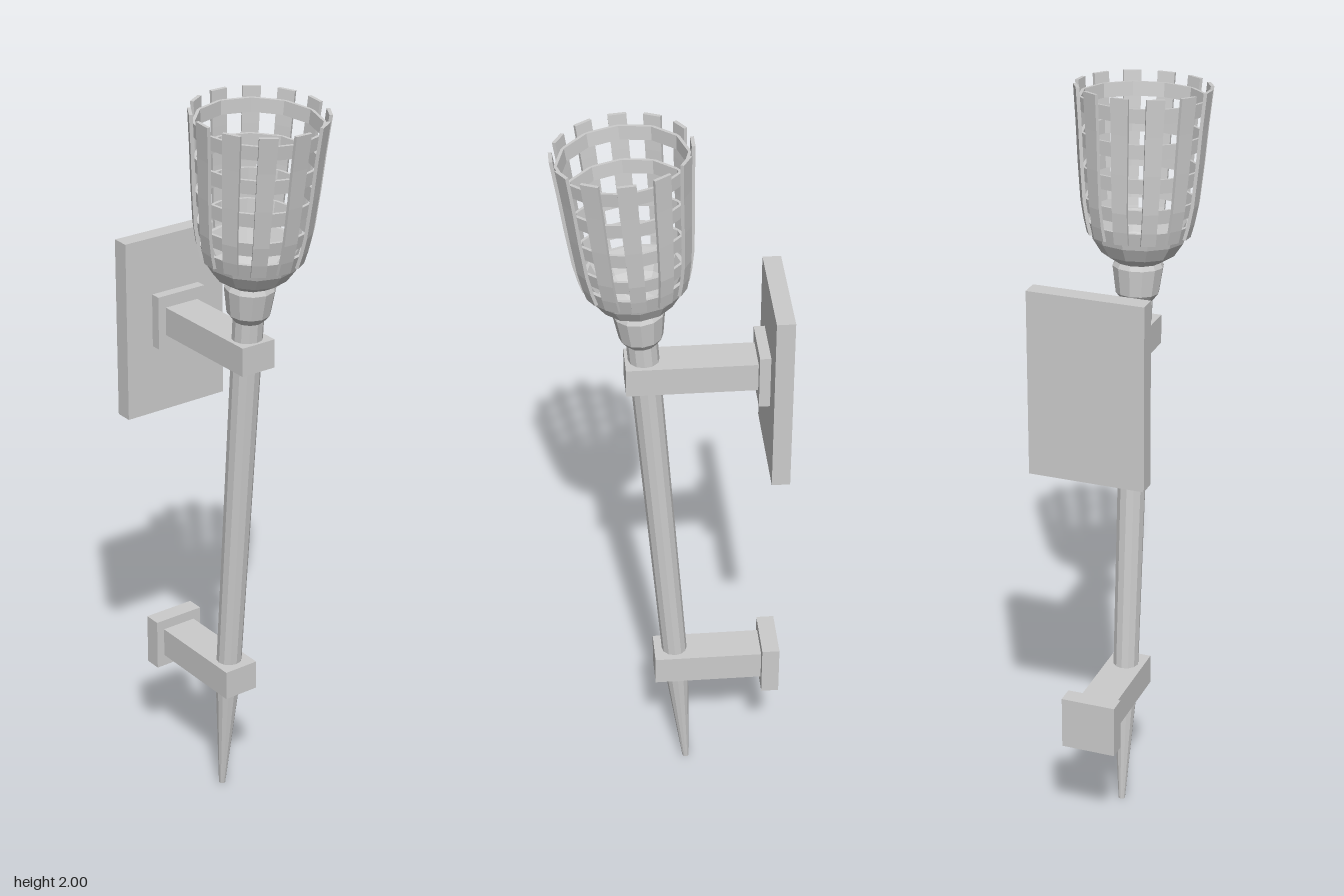
import * as THREE from 'three';

const SIDES = 12;
const TILT = 0.0794; // lean of the torch away from the wall

export function createModel() {
  const model = new THREE.Group();
  const material = new THREE.MeshStandardMaterial({ color: 0xcccccc, flatShading: true });

  const add = (parent, name, geometry) => {
    const mesh = new THREE.Mesh(geometry, material);
    mesh.name = name;
    parent.add(mesh);
    return mesh;
  };
  // box given by half width and its y and z ranges
  const box = (parent, name, halfW, y0, y1, z0, z1) =>
    add(parent, name, new THREE.BoxGeometry(halfW * 2, y1 - y0, z1 - z0))
      .position.set(0, (y0 + y1) / 2, (z0 + z1) / 2);
  const lathe = (points) =>
    new THREE.LatheGeometry(points.map(([r, y]) => new THREE.Vector2(r, y)), SIDES);

  // wall brackets
  const upper = new THREE.Group();
  upper.name = 'upperBracket';
  box(upper, 'upperWallPlate', 0.153, 1.08, 1.57, -0.29, -0.243);
  box(upper, 'upperMount', 0.073, 1.27, 1.415, -0.243, -0.215);
  box(upper, 'upperArm', 0.05, 1.305, 1.382, -0.215, 0.117);
  const lower = new THREE.Group();
  lower.name = 'lowerBracket';
  box(lower, 'lowerWallPlate', 0.073, 0.297, 0.44, -0.29, -0.243);
  box(lower, 'lowerArm', 0.05, 0.33, 0.412, -0.243, 0.047);
  model.add(upper, lower);

  // leaning torch, built upright and tilted about its tip
  const torch = new THREE.Group();
  torch.name = 'torch';
  torch.position.z = -0.041;
  torch.rotation.x = TILT;
  model.add(torch);

  add(torch, 'pole', lathe([[0, 0], [0.009, 0], [0.031, 0.31], [0.034, 0.4], [0.04, 1.45]]));
  add(torch, 'collar', lathe([
    [0, 1.44], [0.04, 1.44], [0.056, 1.46], [0.066, 1.53], [0.058, 1.545], [0, 1.545],
  ].slice(0, 5)));

  // hollow bowl: outside up, over the rim, inside down
  add(torch, 'bowl', lathe([
    [0.056, 1.54], [0.095, 1.565], [0.118, 1.6], [0.132, 1.645],
    [0.122, 1.645], [0.095, 1.59], [0.055, 1.55], [0.013, 1.535], [0, 1.535],
  ]));

  // outer radius of the basket at a given height
  const profile = [[1.615, 0.131], [1.65, 0.14], [1.7, 0.149], [1.8, 0.158], [1.9, 0.165], [1.992, 0.173]];
  const radiusAt = (y) => {
    const i = Math.max(1, profile.findIndex(([h]) => h >= y));
    const [y0, r0] = profile[i - 1], [y1, r1] = profile[i];
    return r0 + (r1 - r0) * (y - y0) / (y1 - y0);
  };

  // horizontal hoops
  const hoopH = 0.036;
  [1.69, 1.77, 1.858, 1.948].forEach((y, i) => {
    const lo = y - hoopH / 2, hi = y + hoopH / 2;
    const a = radiusAt(lo) - 0.007, b = radiusAt(hi) - 0.007, t = 0.008;
    add(torch, `hoop${i + 1}`, lathe([[a, lo], [b, hi], [b - t, hi], [a - t, lo], [a, lo]]));
  });

  // upright straps, slightly narrower at the foot
  const outline = new THREE.Shape([
    ...profile.map(([y, r]) => new THREE.Vector2(r, y)),
    ...profile.map(([y, r]) => new THREE.Vector2(r - 0.009, y)).reverse(),
  ]);
  const strap = new THREE.ExtrudeGeometry(outline, { depth: 1, bevelEnabled: false });
  strap.translate(0, 0, -0.5);
  const p = strap.attributes.position;
  for (let i = 0; i < p.count; i++) {
    const k = (p.getY(i) - 1.615) / 0.377;
    p.setZ(i, p.getZ(i) * (0.037 + 0.009 * k));
  }
  strap.computeVertexNormals();
  for (let i = 0; i < SIDES; i++) {
    add(torch, `strap${i + 1}`, strap).rotation.y = (i / SIDES) * Math.PI * 2;
  }

  return model;
}
